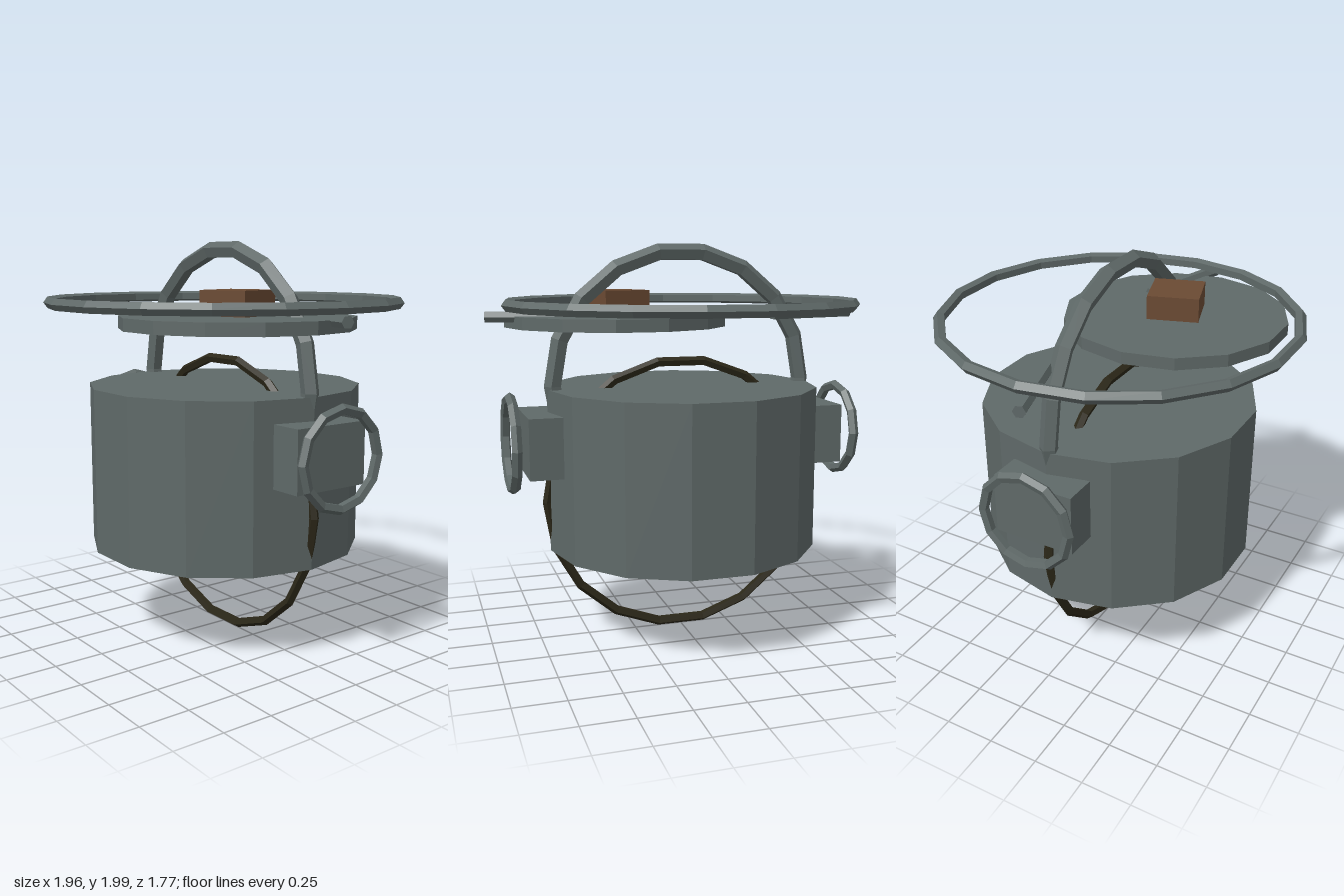
import * as THREE from 'three';

export function createModel() {
  const model = new THREE.Group();
  const flat = (name, color) => {
    const m = new THREE.MeshStandardMaterial({ color, flatShading: true });
    m.name = name;
    return m;
  };
  const iron = flat('grey iron', 0x5f6968);
  const wood = flat('brown wood', 0x6b4a33);
  const soot = flat('dark soot', 0x2b2718);

  const add = (name, geometry, material, x, y, z) => {
    const mesh = new THREE.Mesh(geometry, material);
    mesh.name = name;
    mesh.position.set(x, y, z);
    model.add(mesh);
    return mesh;
  };
  // Fourteen-sided disc with a corner on the x axis
  const drum = (radius, height) =>
    new THREE.CylinderGeometry(radius, radius, height, 14, 1, false, Math.PI / 2);
  // Five-sided bar bent into a ring
  const ring = (radius, bar, sides = 18) => new THREE.TorusGeometry(radius, bar, 5, sides);

  // Pot body
  add('potBody', drum(0.69, 0.82), iron, 0, 0.88, 0);

  // Carrying handle, its lower half sunk in the pot
  add('handle', ring(0.66, 0.0445), iron, 0, 1.306, 0);

  // Dark hoop passing under the pot
  add('lowerHoop', ring(0.70, 0.025), soot, 0, 0.72, 0);

  // Wide rim ring above the pot
  add('rimRing', ring(0.87, 0.03), iron, 0, 1.703, 0).rotation.x = Math.PI / 2;

  // Lid, set off centre, with its knob
  add('lid', drum(0.565, 0.06), iron, 0.305, 1.62, 0.15);
  add('lidKnob', new THREE.BoxGeometry(0.257, 0.125, 0.257), wood, 0.307, 1.708, 0.15)
    .rotation.y = THREE.MathUtils.degToRad(18);

  // Lugs, side rings and rods on both sides
  for (const [label, s] of [['left', 1], ['right', -1]]) {
    add(label + 'Lug', new THREE.BoxGeometry(0.165, 0.30, 0.41), iron, s * 0.73, 1.03, 0);
    add(label + 'Ring', ring(0.229, 0.026, 12), iron, s * 0.873, 1.03, 0).rotation.y = Math.PI / 2;
    const rod = add(label + 'Rod', new THREE.CylinderGeometry(0.03, 0.03, 0.525, 6), iron, s * 0.718, 1.647, -0.005);
    rod.rotation.set(0, -s * THREE.MathUtils.degToRad(17), Math.PI / 2);
  }

  return model;
}
